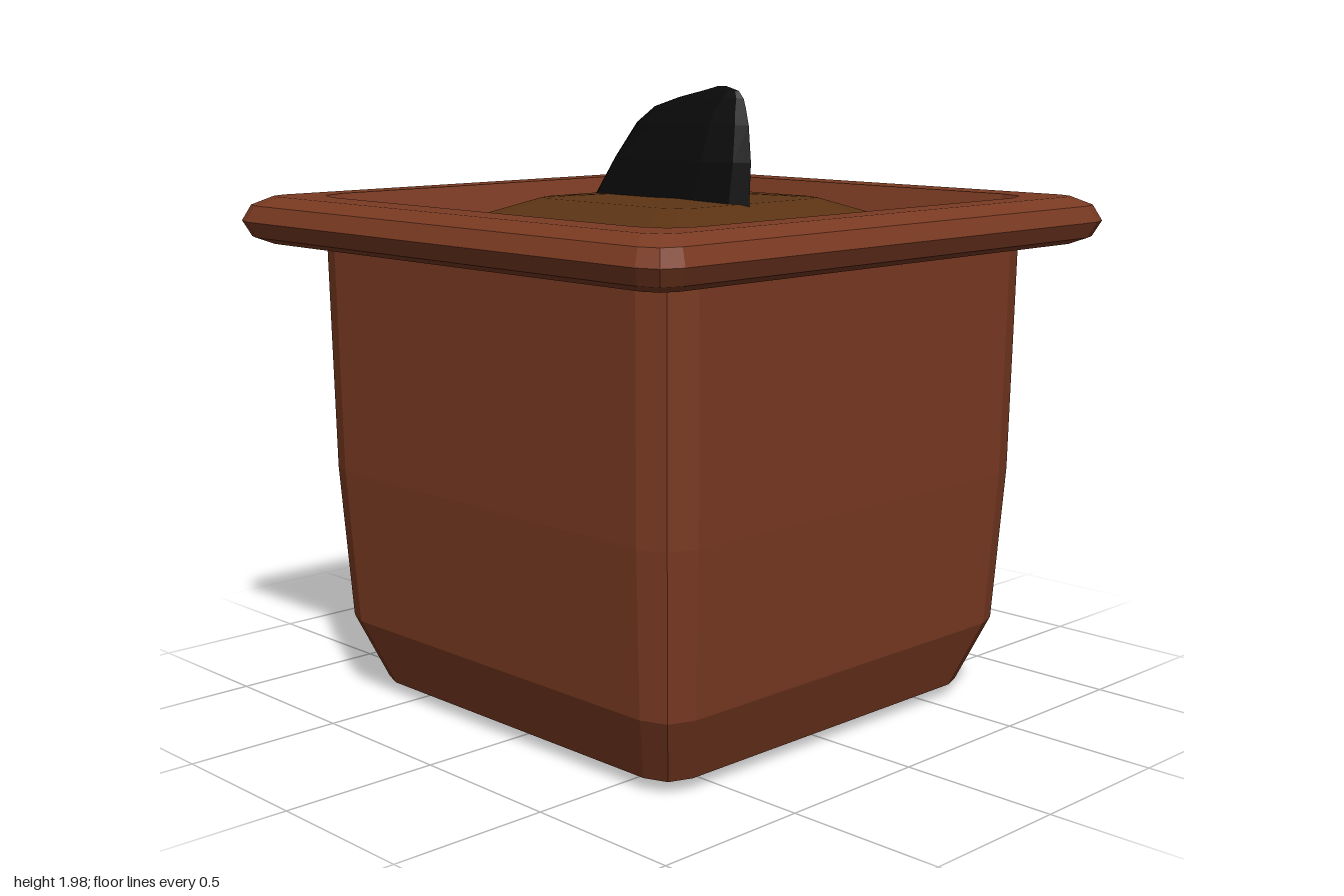
import * as THREE from 'three';

// Skin a stack of rings (counter-clockwise from above) and close both ends.
function loft(rings) {
  const n = rings[0].length;
  const pos = rings.flat(2);
  const idx = [];
  for (let i = 0; i < rings.length - 1; i++) {
    for (let j = 0; j < n; j++) {
      const k = (j + 1) % n;
      const a = i * n + j, b = i * n + k, c = b + n, d = a + n;
      idx.push(a, b, c, a, c, d);
    }
  }
  const last = (rings.length - 1) * n;
  for (let j = 1; j < n - 1; j++) {
    idx.push(0, j + 1, j);
    idx.push(last, last + j, last + j + 1);
  }
  const g = new THREE.BufferGeometry();
  g.setAttribute('position', new THREE.Float32BufferAttribute(pos, 3));
  g.setIndex(idx);
  g.computeVertexNormals();
  return g;
}

// Square ring with three-point rounded corners: half sizes hx, hz, corner c.
function squareRing(y, hx, hz, c, cx = 0, cz = 0) {
  const k = 0.28 * c;
  const corner = [[0, c], [k, k], [c, 0]];
  const ring = [];
  for (const [sx, sz] of [[1, -1], [-1, -1], [-1, 1], [1, 1]]) {
    const pts = corner.map(([ix, iz]) => [cx + sx * (hx - ix), y, cz + sz * (hz - iz)]);
    ring.push(...(sx * sz < 0 ? pts : pts.reverse()));
  }
  return ring;
}

function part(name, geometry, color) {
  const material = new THREE.MeshStandardMaterial({ color, flatShading: true });
  const mesh = new THREE.Mesh(geometry, material);
  mesh.name = name;
  return mesh;
}

export function createModel() {
  const group = new THREE.Group();
  group.name = 'pottedPlanter';

  // Pot: outside wall, rolled rim, then down the inside (y, half size, corner)
  const potProfile = [
    [0, 0.58, 0.06], [0.04, 0.69, 0.1], [0.25, 0.77, 0.11], [0.75, 0.8, 0.12], [1.48, 0.81, 0.12],
    [1.48, 0.91, 0.07], [1.5, 0.955, 0.08], [1.55, 0.98, 0.09], [1.6, 0.955, 0.08], [1.628, 0.9, 0.07],
    [1.628, 0.81, 0.12], [1.5, 0.765, 0.13], [1.25, 0.715, 0.14], [0.75, 0.69, 0.14], [0.25, 0.66, 0.13],
  ];
  const potRings = potProfile.map(([y, h, c]) => squareRing(y, h, h + 0.02 * (h > 0.85), c));
  group.add(part('pot', loft(potRings), 0x7a3a22));

  // Soil: pillow-shaped mound, slightly off centre
  const soilProfile = [
    [1.0, 0.66, 0.16], [1.2, 0.695, 0.17], [1.33, 0.675, 0.18], [1.46, 0.6, 0.17],
    [1.57, 0.48, 0.13], [1.625, 0.33, 0.08], [1.637, 0.15, 0.04],
  ];
  const soilRings = soilProfile.map(([y, h, c]) => squareRing(y, h, h, c, 0.035, 0));
  group.add(part('soil', loft(soilRings), 0x5c3414));

  // Shoot: lens-shaped sections that thin out to a ridge (y, xMin, xMax, thickness)
  const shootProfile = [
    [1.52, -0.31, 0.385, 1.05], [1.63, -0.24, 0.385, 1], [1.75, -0.155, 0.39, 0.87],
    [1.86, -0.07, 0.38, 0.62], [1.91, 0, 0.368, 0.44], [1.94, 0.1, 0.358, 0.29],
    [1.962, 0.2, 0.338, 0.15], [1.976, 0.255, 0.285, 0.02],
  ];
  const half = 6;
  const shootRings = shootProfile.map(([y, x0, x1, t]) => {
    const ring = [];
    for (let i = 0; i < half * 2; i++) {
      const a = (i / half) * Math.PI;
      const u = (1 + Math.cos(a)) / 2;
      const z = 0.05 + 0.055 * t * (1 - u) - 0.085 * t * Math.sin(a);
      ring.push([x0 + (x1 - x0) * u, y, z]);
    }
    return ring;
  });
  group.add(part('shoot', loft(shootRings), 0x0a0a0a));

  return group;
}
